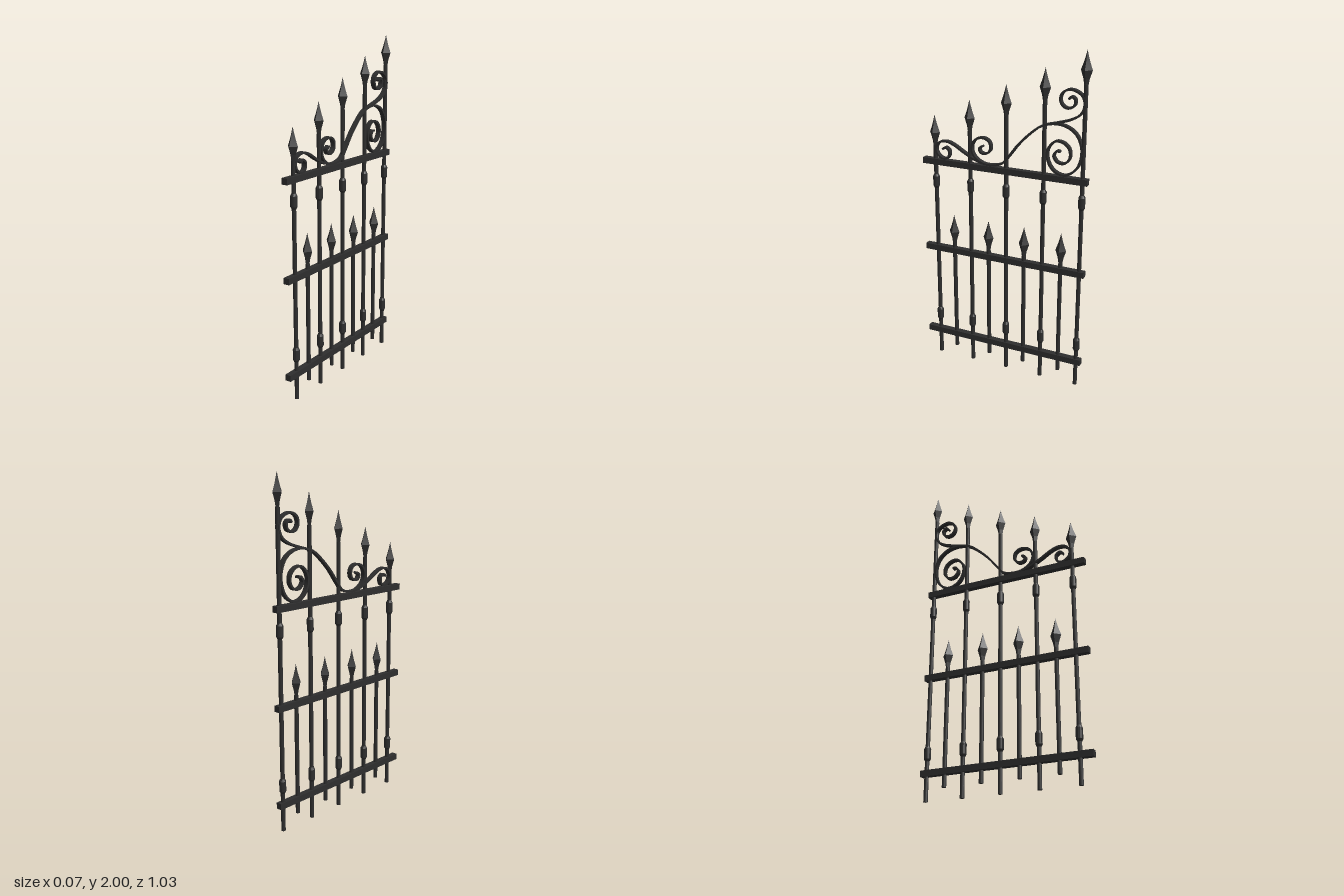
import * as THREE from 'three';
import { toCreasedNormals } from 'three/addons/utils/BufferGeometryUtils.js';

const iron = new THREE.MeshStandardMaterial({ color: 0x2e2e2e });
iron.name = 'wrought iron';

function add(parent, name, geometry, x = 0, y = 0, z = 0) {
  const mesh = new THREE.Mesh(geometry, iron);
  mesh.name = name;
  mesh.position.set(x, y, z);
  parent.add(mesh);
  return mesh;
}

function lathe(points, sides, crease) {
  const profile = points.map(([r, y]) => new THREE.Vector2(r, y));
  return toCreasedNormals(new THREE.LatheGeometry(profile, sides).toNonIndexed(), crease);
}

// Four-sided spear head, measured down from its tip
const spearGeometry = lathe([
  [0, -0.185], [0.012, -0.185], [0.018, -0.15], [0.033, -0.105],
  [0.019, -0.068], [0.009, -0.035], [0, 0]], 4, 0.1);

// Bevelled sleeve around a tall bar
const collarGeometry = lathe([
  [0.012, -0.045], [0.02, -0.03], [0.02, 0.03], [0.012, 0.045]], 12, 0.4);

function bar(name, z, bottom, tip) {
  const group = new THREE.Group();
  group.name = name;
  const top = tip - 0.18;
  add(group, 'shaft', new THREE.CylinderGeometry(0.0125, 0.0125, top - bottom, 10), 0, (top + bottom) / 2, z);
  add(group, 'spearHead', spearGeometry, 0, tip, z);
  return group;
}

// Flat strip bent along a curve; points are [-z, y]
function ribbon(points) {
  const curve = new THREE.SplineCurve(points.map(([u, y]) => new THREE.Vector2(u, y)));
  const steps = points.length * 6, half = 0.006, left = [], right = [];
  for (let i = 0; i <= steps; i++) {
    const p = curve.getPoint(i / steps), t = curve.getTangent(i / steps);
    left.push(new THREE.Vector2(p.x - t.y * half, p.y + t.x * half));
    right.unshift(new THREE.Vector2(p.x + t.y * half, p.y - t.x * half));
  }
  const geometry = new THREE.ExtrudeGeometry(new THREE.Shape([...left, ...right]), {
    depth: 0.028, bevelEnabled: false });
  geometry.translate(0, 0, -0.014).rotateY(Math.PI / 2);
  return toCreasedNormals(geometry, 0.6);
}

export function createModel() {
  const gate = new THREE.Group();
  gate.name = 'gatePanel';

  // Tall bars rising toward the back, each with two collars
  for (let i = 0; i < 5; i++) {
    const z = 0.44 - i * 0.23;
    const tall = bar('tallBar', z, 0, 1.566 + i * 0.1085);
    for (const y of [0.273, 1.163]) add(tall, 'collar', collarGeometry, 0, y, z);
    gate.add(tall);
  }

  // Short bars between them
  for (let i = 0; i < 4; i++) gate.add(bar('shortBar', 0.325 - i * 0.23, 0.07, 0.96));

  // Cross rails
  for (const y of [0.159, 0.732, 1.285]) {
    add(gate, 'rail', new THREE.BoxGeometry(0.036, 0.036, 1.03), 0, y, 0.003);
  }

  // Long S-shaped scroll with a curl at each end
  add(gate, 'longScroll', ribbon([
    [-0.388, 1.365], [-0.368, 1.378], [-0.343, 1.357], [-0.352, 1.32], [-0.384, 1.309],
    [-0.42, 1.33], [-0.431, 1.368], [-0.41, 1.404], [-0.362, 1.415], [-0.31, 1.399],
    [-0.246, 1.362], [-0.167, 1.325], [-0.087, 1.309], [-0.008, 1.325], [0.037, 1.373],
    [0.098, 1.452], [0.167, 1.521], [0.23, 1.569], [0.304, 1.592], [0.378, 1.585],
    [0.437, 1.548], [0.468, 1.484], [0.468, 1.415], [0.442, 1.352], [0.389, 1.312],
    [0.336, 1.315], [0.294, 1.347], [0.272, 1.4], [0.278, 1.452], [0.315, 1.494],
    [0.362, 1.494], [0.399, 1.463], [0.405, 1.415], [0.378, 1.378], [0.336, 1.378],
    [0.31, 1.41], [0.325, 1.44], [0.347, 1.44]]));

  // Curl on the low part of the S
  add(gate, 'middleScroll', ribbon([
    [-0.125, 1.415], [-0.147, 1.4], [-0.135, 1.375], [-0.103, 1.373], [-0.077, 1.4],
    [-0.082, 1.442], [-0.119, 1.463], [-0.167, 1.452], [-0.193, 1.415], [-0.193, 1.373],
    [-0.167, 1.336], [-0.119, 1.312], [-0.07, 1.309]]));

  // Curl above the crest of the S
  add(gate, 'upperScroll', ribbon([
    [0.27, 1.585], [0.346, 1.605], [0.41, 1.627], [0.458, 1.659], [0.479, 1.706],
    [0.468, 1.754], [0.431, 1.78], [0.389, 1.786], [0.352, 1.765], [0.341, 1.728],
    [0.357, 1.696], [0.389, 1.685], [0.42, 1.701], [0.426, 1.733], [0.405, 1.749], [0.388, 1.735]]));

  return gate;
}
